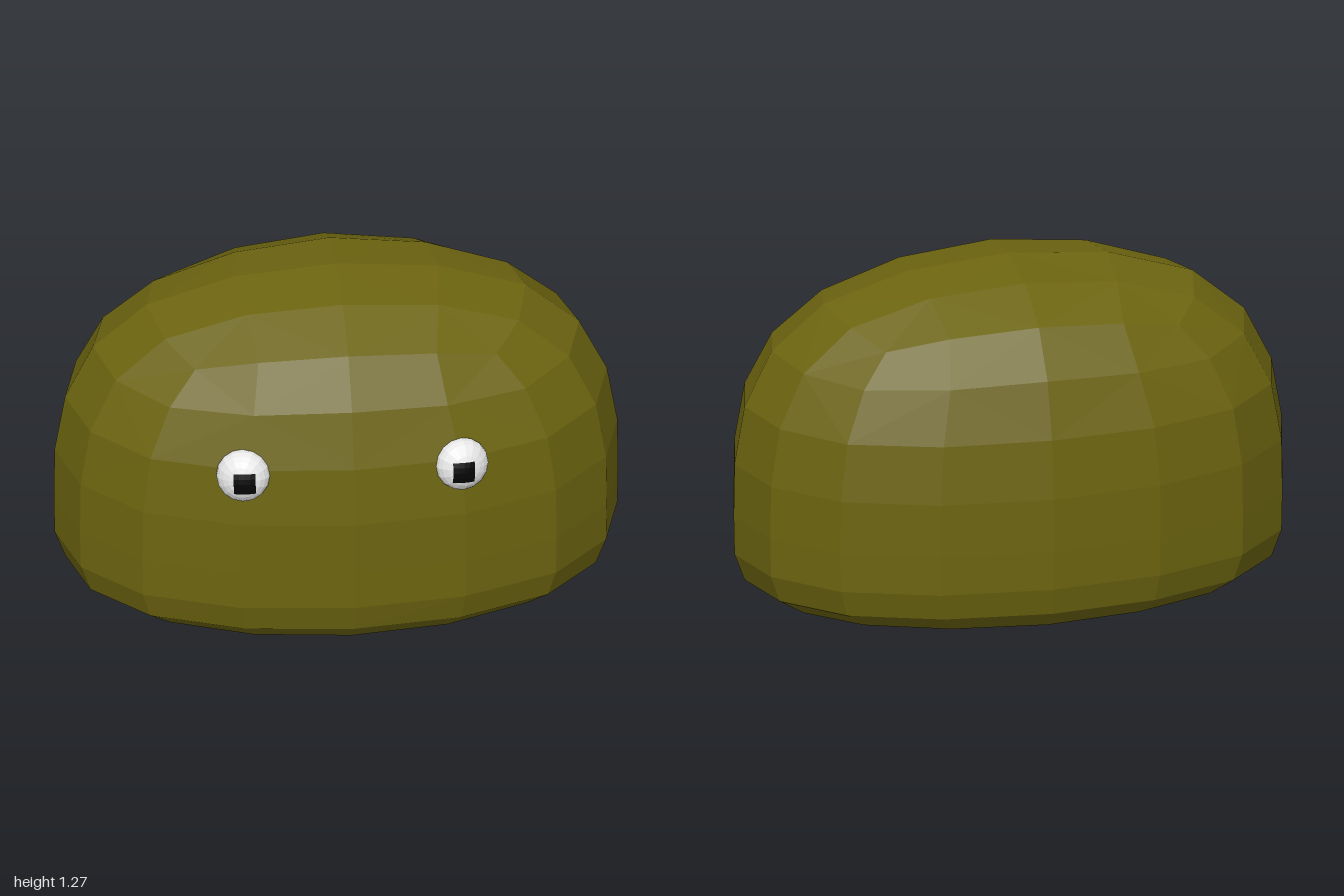
import * as THREE from 'three';

const bodyMat = new THREE.MeshStandardMaterial({ name: 'olive skin', color: 0x6c6410 });
const whiteMat = new THREE.MeshStandardMaterial({ name: 'eye white', color: 0xe7e7e7 });
const pupilMat = new THREE.MeshStandardMaterial({ name: 'pupil black', color: 0x050505 });
for (const m of [bodyMat, whiteMat, pupilMat]) m.flatShading = true;

const mean = (pts) => pts.reduce((s, p) => s.add(p), new THREE.Vector3()).divideScalar(pts.length);

// One round of Catmull-Clark smoothing on a closed quad cage
function subdivide({ verts, faces }) {
  const centres = faces.map((f) => mean(f.map((i) => verts[i])));
  const edges = new Map();
  const key = (a, b) => (a < b ? `${a}_${b}` : `${b}_${a}`);
  const around = verts.map(() => ({ faces: [], mids: [] }));
  faces.forEach((f, fi) => f.forEach((a, k) => {
    const b = f[(k + 1) % 4];
    around[a].faces.push(centres[fi]);
    const e = key(a, b);
    if (!edges.has(e)) {
      edges.set(e, { a, b, faces: [] });
      const mid = mean([verts[a], verts[b]]);
      around[a].mids.push(mid);
      around[b].mids.push(mid);
    }
    edges.get(e).faces.push(centres[fi]);
  }));
  const out = verts.map((p, i) => {
    const n = around[i].faces.length;
    return mean(around[i].faces)
      .addScaledVector(mean(around[i].mids), 2)
      .addScaledVector(p, n - 3)
      .divideScalar(n);
  });
  for (const e of edges.values()) {
    e.index = out.length;
    out.push(mean([verts[e.a], verts[e.b], ...e.faces]));
  }
  const quads = [];
  faces.forEach((f, fi) => {
    const c = out.push(centres[fi]) - 1;
    f.forEach((a, k) => {
      const next = edges.get(key(a, f[(k + 1) % 4])).index;
      const prev = edges.get(key(f[(k + 3) % 4], a)).index;
      quads.push([a, next, c, prev]);
    });
  });
  return { verts: out, faces: quads };
}

// Rounded body: a three-ring box cage smoothed twice
function bodyGeometry() {
  const rings = [[-0.01, 1.03, 0.655], [0.25, 1.08, 0.685], [1.341, 1.03, 0.655]];
  const verts = [];
  for (const [y, x, z] of rings) {
    for (const [sx, sz] of [[-1, 1], [1, 1], [1, -1], [-1, -1]]) {
      verts.push(new THREE.Vector3(sx * x, y, sz * z));
    }
  }
  const faces = [[3, 2, 1, 0], [8, 9, 10, 11]];
  for (const r of [0, 4]) {
    for (let k = 0; k < 4; k++) {
      const n = (k + 1) % 4;
      faces.push([r + k, r + n, r + n + 4, r + k + 4]);
    }
  }
  const smooth = subdivide(subdivide({ verts, faces }));
  const geo = new THREE.BufferGeometry().setFromPoints(smooth.verts);
  geo.setIndex(smooth.faces.flatMap(([a, b, c, d]) => [a, b, c, a, c, d]));
  geo.computeVertexNormals();
  return geo;
}

// Square patch lying just over the front of the eye
function pupilGeometry(rx, rz, cx, cy) {
  const geo = new THREE.PlaneGeometry(0.077, 0.077, 4, 4);
  const p = geo.attributes.position;
  for (let i = 0; i < p.count; i++) {
    const x = p.getX(i) + cx;
    const y = p.getY(i) + cy;
    p.setXYZ(i, x, y, rz * Math.sqrt(1 - (x * x + y * y) / (rx * rx)) + 0.003);
  }
  geo.computeVertexNormals();
  return geo;
}

function makeEye(side) {
  const eye = new THREE.Group();
  eye.name = side > 0 ? 'leftEye' : 'rightEye';
  const rx = 0.095, rz = 0.07;
  const ballGeo = new THREE.SphereGeometry(rx, 16, 12);
  ballGeo.rotateX(Math.PI / 2);
  ballGeo.scale(1, 1, rz / rx);
  const ball = new THREE.Mesh(ballGeo, whiteMat);
  ball.name = 'eyeball';
  const pupil = new THREE.Mesh(pupilGeometry(rx, rz, -side * 0.012, -0.012), pupilMat);
  pupil.name = 'pupil';
  eye.add(ball, pupil);
  // Lean back and turn outward to follow the body
  eye.rotation.set(-0.2, side * 0.2, 0);
  eye.position.set(side * 0.387, 0.765, 0.562);
  return eye;
}

export function createModel() {
  const model = new THREE.Group();
  model.name = 'roundCreature';
  const body = new THREE.Mesh(bodyGeometry(), bodyMat);
  body.name = 'body';
  model.add(body, makeEye(1), makeEye(-1));
  return model;
}
